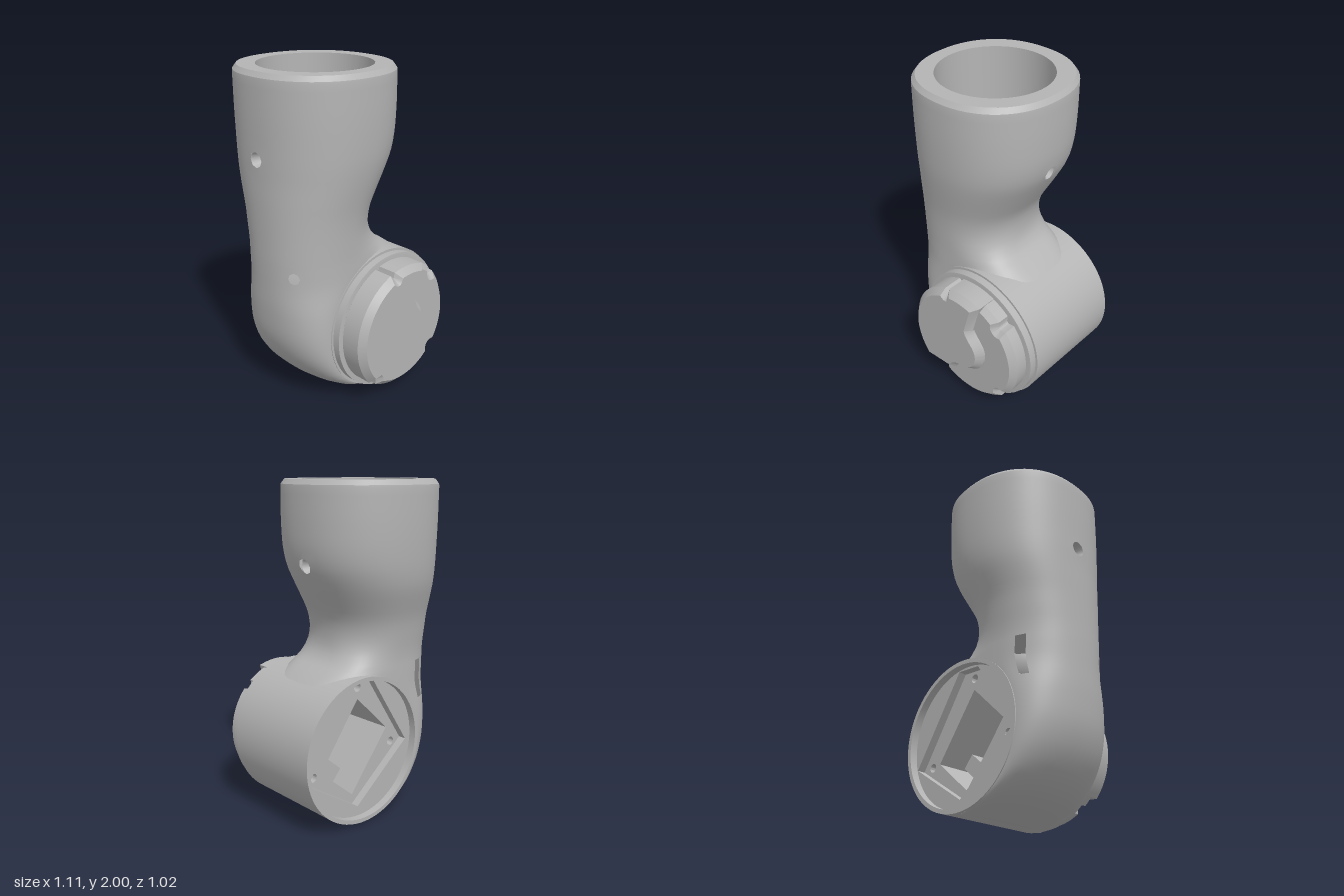
import * as THREE from 'three';
import { toCreasedNormals } from 'three/addons/utils/BufferGeometryUtils.js';

const COLS = 64;
const HUB = { x: 0.11, y: 0.455, r: 0.445 }; // round housing, axis along z

// Sleeve and elbow sections: y, left x, widest x, right x, back z, front z
const SECTIONS = [
  [0, 0.04, 0.1, 0.12, -0.345, 0.285],
  [0.05, -0.18, -0.06, 0, -0.36, 0.3],
  [0.13, -0.325, -0.18, -0.05, -0.362, 0.302],
  [0.25, -0.435, -0.27, -0.1, -0.362, 0.302],
  [0.4, -0.505, -0.31, -0.1, -0.362, 0.302],
  [0.6, -0.535, -0.29, -0.05, -0.362, 0.302],
  [0.8, -0.543, -0.2, 0.36, -0.362, 0.302],
  [0.86, -0.545, -0.2, 0.312, -0.362, 0.302],
  [0.904, -0.546, -0.2, 0.248, -0.362, 0.302],
  [0.95, -0.547, -0.2, 0.18, -0.362, 0.303],
  [1, -0.547, -0.2, 0.145, -0.365, 0.305],
  [1.1, -0.548, -0.2, 0.13, -0.38, 0.31],
  [1.2, -0.549, -0.19, 0.145, -0.4, 0.32],
  [1.3, -0.55, -0.17, 0.195, -0.435, 0.337],
  [1.4, -0.55, -0.145, 0.25, -0.47, 0.355],
  [1.5, -0.552, -0.125, 0.3, -0.49, 0.37],
  [1.6, -0.553, -0.115, 0.325, -0.5, 0.378],
  [1.75, -0.555, -0.11, 0.335, -0.508, 0.384],
  [1.97, -0.555, -0.11, 0.335, -0.512, 0.385],
];
const spline = new THREE.CubicInterpolant(
  SECTIONS.map((s) => s[0]), SECTIONS.flatMap((s) => s.slice(1)), 5, new Float32Array(5));
const signedPow = (v, e) => Math.sign(v) * Math.abs(v) ** e;

function sleevePoint(a, y) {
  const [xl, xc, xr, zb, zf] = spline.evaluate(Math.min(y, 1.97));
  const inset = Math.max(0, y - 1.97) / 0.03 * 0.022; // top chamfer
  const c = signedPow(Math.cos(a), 0.9);
  // the right side squares off where it runs onto the housing
  const square = c > 0 ? 0.45 * (1 - THREE.MathUtils.smoothstep(y, 0.9, 1.12)) : 0;
  let x = xc + c * ((c > 0 ? xr - xc : xc - xl) - inset);
  const z = (zb + zf) / 2 + signedPow(Math.sin(a), 0.9 - square) * ((zf - zb) / 2 - inset);
  // anything inside the housing is tucked into its wall
  const d = Math.hypot(x - HUB.x, y - HUB.y);
  const inside = d < 0.432;
  if (inside) {
    const k = 0.432 / Math.max(d, 0.001);
    x = HUB.x + (x - HUB.x) * k;
    y = HUB.y + (y - HUB.y) * k;
  }
  return { p: [x, y, z], inside };
}

// Closed grid around y; each hole drops a block of cells, round ones pull its edge onto a circle
function gridSurface(point, ys, holes) {
  const pos = [], index = [], inside = [];
  const wrap = (d) => ((d + COLS * 1.5) % COLS) - COLS / 2;
  ys.forEach((y0, j) => {
    for (let i = 0; i < COLS; i++) {
      let a = (i / COLS) * Math.PI * 2, y = y0;
      for (const h of holes) {
        const dc = wrap(i - h.col), dr = j - h.row;
        if (h.r && Math.abs(dc) <= 1 && Math.abs(dr) <= 1 && (dc || dr)) {
          const l = Math.hypot(dc, dr);
          a = (h.col / COLS) * Math.PI * 2 + (dc / l) * h.r / h.scale;
          y = ys[h.row] + (dr / l) * h.r;
        }
      }
      const q = point(a, y);
      pos.push(...q.p);
      inside.push(q.inside);
    }
  });
  for (let j = 0; j < ys.length - 1; j++) for (let i = 0; i < COLS; i++) {
    if (holes.some((h) => {
      const dc = wrap(i - h.col), n = h.rows || 1;
      return dc >= -1 && dc < 1 && j >= h.row - n && j < h.row + n;
    })) continue;
    const n = (i + 1) % COLS, a = j * COLS + i, b = j * COLS + n, c = a + COLS, d = b + COLS;
    for (const t of [[a, c, b], [b, c, d]]) if (!t.every((v) => inside[v])) index.push(...t);
  }
  const g = new THREE.BufferGeometry();
  g.setAttribute('position', new THREE.Float32BufferAttribute(pos, 3));
  g.setIndex(index);
  return toCreasedNormals(g, 0.5);
}

const polygon = (pts) => new THREE.Shape(pts.map(([x, y]) => new THREE.Vector2(x, y)));
const circle = (x, y, r) => new THREE.Shape().absarc(x, y, r, 0, Math.PI * 2);

export function createModel() {
  const model = new THREE.Group();
  const grey = new THREE.MeshStandardMaterial({ color: 0xb4b4b4, side: THREE.DoubleSide });
  grey.name = 'grey';
  const add = (name, geometry, x = 0, y = 0, z = 0, parent = model) => {
    const m = new THREE.Mesh(geometry, grey);
    m.name = name;
    m.position.set(x, y, z);
    parent.add(m);
    return m;
  };

  // Sleeve running down into the elbow, with cross pin holes, a front hole and a back slot
  const ys = [0.002];
  for (let i = -19; i <= 25; i++) {
    ys.push(0.86 + 0.044 * i);
    if (i === 1) ys.push(0.926);
  }
  ys.push(1.972, 2);
  add('sleeveAndElbow', gridSurface(sleevePoint, ys, [
    { col: 0, row: 36, r: 0.045, scale: 0.53 },
    { col: 32, row: 36, r: 0.045, scale: 0.53 },
    { col: 26, row: 20, r: 0.036, scale: 0.33 },
    { col: 44, row: 19, rows: 3 },
  ]));

  // Socket bore, rim and hexagonal pocket
  const bx = -0.11, bz = -0.06, br = 0.335, floorY = 1.42;
  const borePoint = (a, y) => ({ p: [bx + br * Math.cos(a), y, bz + br * Math.sin(a)], inside: false });
  add('socketBore', gridSurface(borePoint, [floorY, 1.476, 1.52, 1.564, 2],
    [0, 32].map((col) => ({ col, row: 2, r: 0.027, scale: br }))));
  const rim = new THREE.Shape();
  for (let i = 0; i < COLS; i++) {
    const [x, , z] = sleevePoint((i / COLS) * Math.PI * 2, 2).p;
    if (i) rim.lineTo(x, -z);
    else rim.moveTo(x, -z);
  }
  rim.holes.push(circle(bx, -bz, br));
  add('socketRim', new THREE.ShapeGeometry(rim, 32).rotateX(-Math.PI / 2), 0, 2, 0);
  const hex = [...Array(6).keys()].map((i) => [0.155 * Math.sin(i * Math.PI / 3), 0.155 * Math.cos(i * Math.PI / 3)]);
  const floor = circle(0, 0, br);
  floor.holes.push(polygon(hex));
  add('socketFloor', new THREE.ShapeGeometry(floor, 48).rotateX(-Math.PI / 2), bx, floorY, bz);
  add('hexPocket', toCreasedNormals(new THREE.CylinderGeometry(0.155, 0.155, 0.37, 6, 1, true), 0.3), bx, floorY - 0.185, bz);
  add('hexPocketFloor', new THREE.ShapeGeometry(polygon(hex)).rotateX(-Math.PI / 2), bx, floorY - 0.37, bz);
  for (const s of [-1, 1]) {
    const outer = s > 0 ? 0.288 : -0.55, inner = bx + s * br;
    const wall = new THREE.CylinderGeometry(0.045, 0.027, Math.abs(outer - inner), 16, 1, true).rotateZ(-s * Math.PI / 2);
    add('pinHoleWall', wall, (outer + inner) / 2, 1.52, -0.06);
  }

  // Round housing, open at the back
  const hub = new THREE.Group();
  hub.name = 'housing';
  hub.position.set(HUB.x, HUB.y, 0);
  model.add(hub);
  const profile = [[0.42, -0.2], [0.42, -0.367], [HUB.r, -0.367], [HUB.r, 0.305], [0.43, 0.305],
    [0.43, 0.35], [0.415, 0.352], [0, 0.352]].map(([r, z]) => new THREE.Vector2(r, z));
  add('housingShell', toCreasedNormals(new THREE.LatheGeometry(profile, 72).rotateX(Math.PI / 2), 0.5), 0, 0, 0, hub);

  // Stepped back plates with a slanted pocket and three screw holes
  const plate = (name, holes, z, depth) => {
    const s = circle(0, 0, 0.421);
    s.holes.push(...holes);
    add(name, toCreasedNormals(new THREE.ExtrudeGeometry(s, { depth, bevelEnabled: false, curveSegments: 32 }), 0.4), 0, 0, z, hub);
  };
  plate('backLip', [polygon([[0.06, 0.41], [0.4, -0.12], [0.02, -0.36], [-0.38, -0.03], [-0.1, 0.4]])], -0.32, 0.05);
  plate('backPlate', [
    polygon([[-0.02, 0.29], [0.26, -0.1], [0.02, -0.3], [-0.26, 0.06]]),
    ...[[-0.02, 0.36], [0.32, -0.11], [-0.3, -0.04]].map(([x, y]) => circle(x, y, 0.026)),
  ], -0.27, 0.33);
  add('pocketFloor', new THREE.CircleGeometry(0.42, 48), 0, 0, 0.06, hub);
  add('pocketLedge', new THREE.BoxGeometry(0.3, 0.1, 0.14), 0.1, -0.15, -0.02, hub).rotation.z = 0.7;

  // Notched, chamfered cap ring
  const notches = [107, 46, -42, 236].map((d) => d * Math.PI / 180);
  const cap = [];
  for (let i = 0; i < 180; i++) {
    const a = (i / 180) * Math.PI * 2;
    const near = Math.min(...notches.map((n) => Math.abs(Math.atan2(Math.sin(a - n), Math.cos(a - n)))));
    const r = 0.36 - 0.035 * Math.sqrt(Math.max(0, 1 - (near / 0.13) ** 2));
    cap.push([r * Math.cos(a), r * Math.sin(a)]);
  }
  const bevel = (depth, t) => ({ depth, bevelThickness: t, bevelSize: 0.036, bevelSegments: 1, curveSegments: 32 });
  add('capRing', toCreasedNormals(new THREE.ExtrudeGeometry(polygon(cap), bevel(0.13, 0.036)), 0.4), 0, 0, 0.295, hub);

  // Raised cover on the cap, with a notch at the top and a bulge in the middle
  const cover = new THREE.Shape();
  cover.absarc(0, 0, 0.364, 1.3, 1.77);
  cover.quadraticCurveTo(-0.09, 0.29, 0.364 * Math.cos(1.97), 0.364 * Math.sin(1.97));
  cover.absarc(0, 0, 0.364, 1.97, 3.82);
  cover.lineTo(-0.1, -0.215);
  cover.quadraticCurveTo(-0.065, -0.155, 0, -0.145);
  cover.bezierCurveTo(0.08, -0.13, 0.13, -0.08, 0.132, 0);
  cover.bezierCurveTo(0.132, 0.08, 0.055, 0.1, 0.045, 0.17);
  cover.closePath();
  add('capCover', toCreasedNormals(new THREE.ExtrudeGeometry(cover, bevel(0.12, 0.04)), 0.4), 0, 0, 0.353, hub);

  return model;
}
